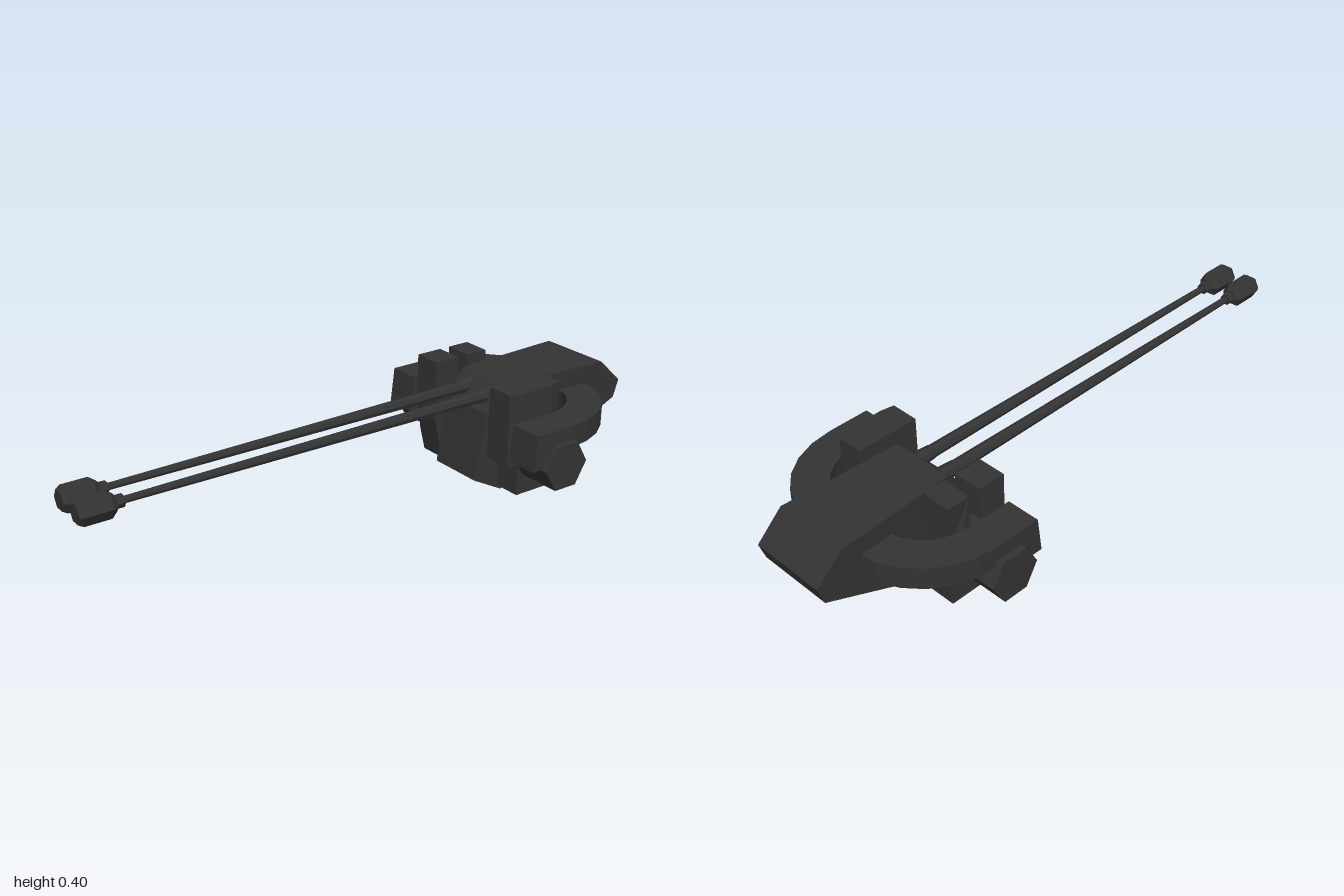
import * as THREE from 'three';

const metal = new THREE.MeshStandardMaterial({ color: 0x333333, flatShading: true });

function part(name, geometry, parent) {
  const mesh = new THREE.Mesh(geometry, metal);
  mesh.name = name;
  parent.add(mesh);
  return mesh;
}

// Side outline given as [z, y], spanning x0..x1
function sidePlate(points, x0, x1) {
  const shape = new THREE.Shape(points.map(([z, y]) => new THREE.Vector2(-z, y)));
  return new THREE.ExtrudeGeometry(shape, { depth: x1 - x0, bevelEnabled: false })
    .rotateY(Math.PI / 2).translate(x0, 0, 0);
}

// Plan outline given as [x, z], spanning y0..y1
function planPlate(points, y0, y1) {
  const shape = new THREE.Shape(points.map(([x, z]) => new THREE.Vector2(x, -z)));
  return new THREE.ExtrudeGeometry(shape, { depth: y1 - y0, bevelEnabled: false })
    .rotateX(-Math.PI / 2).translate(0, y0, 0);
}

function createBody() {
  const geometry = sidePlate([
    [-0.385, 0.06], [-0.425, 0.29], [-0.5, 0.375], [-0.91, 0.375],
    [-1, 0.29], [-0.98, 0.23], [-0.62, 0.06], [-0.495, 0.003],
  ], -1, 1);
  // The body widens toward the back
  const p = geometry.attributes.position;
  for (let i = 0; i < p.count; i++) {
    const half = Math.min(0.13, 0.1 + (-0.385 - p.getZ(i)) * 0.065);
    p.setX(i, Math.sign(p.getX(i)) * half);
  }
  geometry.computeVertexNormals();
  return geometry;
}

// Tapered barrel with a collar and a chamfered hexagonal muzzle
function createBarrel(x) {
  const barrel = new THREE.Group();
  barrel.name = 'barrel';
  const sections = [
    ['barrelBase', 0.03, 0.022, -0.53, -0.42, 8],
    ['barrelTube', 0.021, 0.011, -0.45, 0.88, 8],
    ['muzzleCollar', 0.02, 0.02, 0.855, 0.88, 6],
    ['muzzleRear', 0.026, 0.042, 0.88, 0.9, 6],
    ['muzzle', 0.042, 0.042, 0.9, 0.985, 6],
    ['muzzleTip', 0.042, 0.033, 0.985, 1, 6],
  ];
  for (const [name, r0, r1, z0, z1, sides] of sections) {
    const geometry = new THREE.CylinderGeometry(r1, r0, z1 - z0, sides)
      .rotateY(Math.PI / 2).rotateX(Math.PI / 2).translate(0, 0, (z0 + z1) / 2);
    part(name, geometry, barrel);
  }
  barrel.rotation.x = 0.003;
  barrel.position.set(x, 0.331, 0);
  return barrel;
}

// Curved arm that wraps from the back of the body to the axle
function createArm(side) {
  const arm = new THREE.Group();
  arm.name = side > 0 ? 'leftArm' : 'rightArm';
  const steps = 6;
  const outer = [], inner = [];
  for (let i = 0; i <= steps; i++) {
    const a = (i / steps) * Math.PI / 2;
    outer.push([side * (0.1 + 0.27 * Math.cos(a)), -0.55 - 0.295 * Math.sin(a)]);
    inner.unshift([side * (0.1 + 0.155 * Math.cos(a)), -0.55 - 0.18 * Math.sin(a)]);
  }
  part('armCurve', planPlate([
    [side * 0.37, -0.42], ...outer, ...inner, [side * 0.255, -0.42],
  ], 0.235, 0.31), arm);
  const x = side > 0 ? 0.255 : -0.37;
  part('armHook', sidePlate([
    [-0.405, 0.31], [-0.5, 0.31], [-0.5, 0.24], [-0.44, 0.24], [-0.43, 0.19], [-0.39, 0.19],
  ], x, x + 0.115), arm);
  return arm;
}

export function createModel() {
  const model = new THREE.Group();
  model.name = 'twinBarrelTurret';

  part('body', createBody(), model);

  // Hexagonal axle through the body
  part('axle', new THREE.CylinderGeometry(0.086, 0.086, 0.78, 6)
    .rotateZ(Math.PI / 2).translate(0, 0.186, -0.515), model);

  for (const side of [-1, 1]) {
    model.add(createBarrel(side * 0.051));
    model.add(createArm(side));
  }

  // Left cheek: tall chamfered block on a smaller foot
  part('leftCheek', planPlate([
    [0.135, -0.405], [0.232, -0.405], [0.24, -0.45], [0.24, -0.58],
    [0.228, -0.62], [0.135, -0.62],
  ], 0.152, 0.4), model);
  part('leftCheekFoot', new THREE.BoxGeometry(0.098, 0.13, 0.17)
    .translate(0.186, 0.107, -0.535), model);

  // Right cheek: forked block, pinched at axle height
  const cheek = sidePlate([
    [-0.405, 0.4], [-0.5, 0.4], [-0.5, 0.29], [-0.54, 0.29], [-0.54, 0.4], [-0.62, 0.4],
    [-0.62, 0.19], [-0.62, 0.125], [-0.62, 0.043], [-0.44, 0.043], [-0.42, 0.125], [-0.405, 0.19],
    [-0.405, 0.26],
  ], -0.237, -0.137);
  const p = cheek.attributes.position;
  for (let i = 0; i < p.count; i++) {
    if (p.getX(i) < -0.2 && Math.abs(p.getY(i) - 0.19) < 0.01) p.setX(i, -0.212);
  }
  cheek.computeVertexNormals();
  part('rightCheek', cheek, model);

  return model;
}
